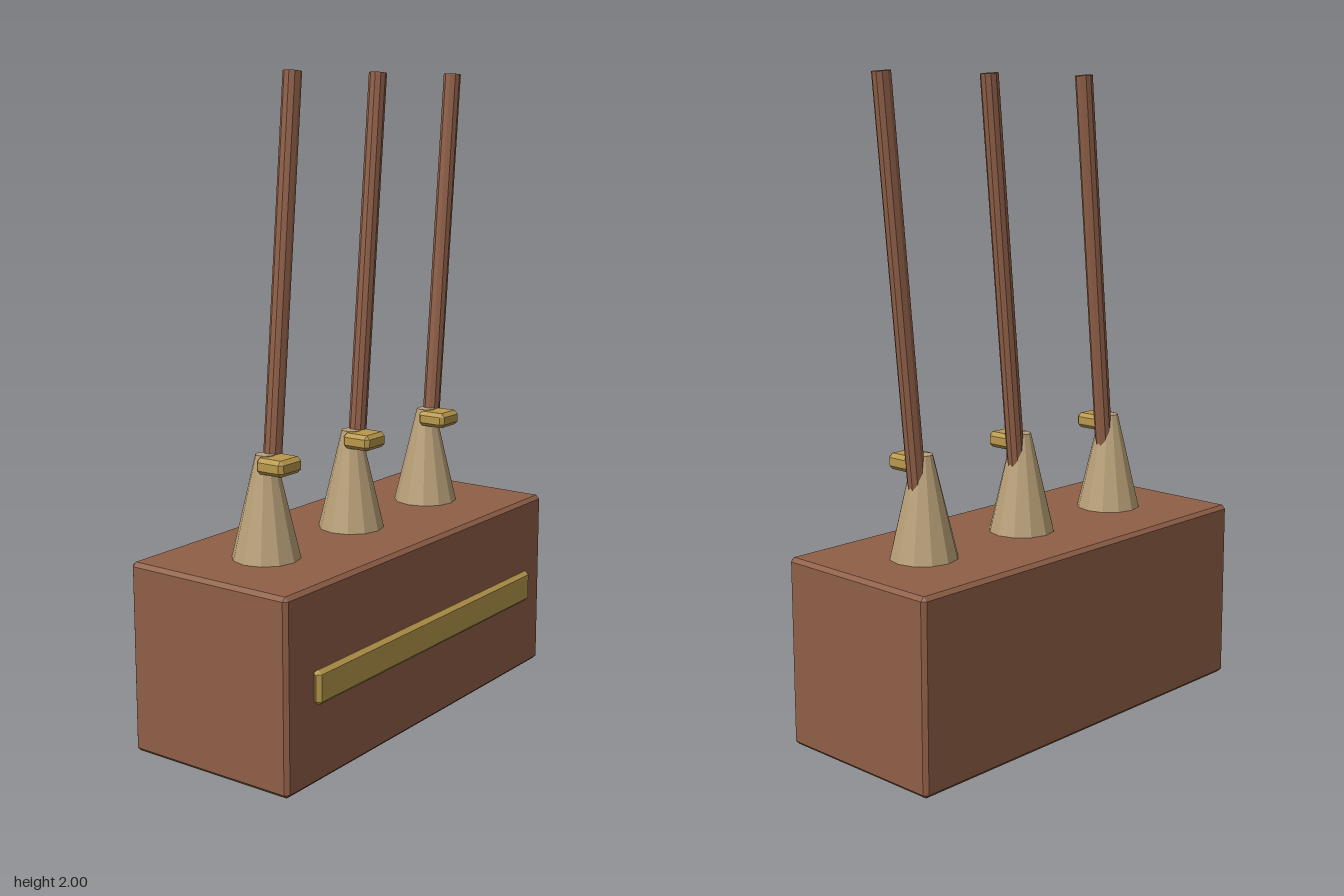
import * as THREE from 'three';
import { ConvexGeometry } from 'three/addons/geometries/ConvexGeometry.js';

// Box between two corners with every edge chamfered by c
function chamferBox(min, max, c) {
  const half = min.map((v, i) => (max[i] - v) / 2);
  const mid = min.map((v, i) => (max[i] + v) / 2);
  const points = [];
  for (const sx of [-1, 1]) for (const sy of [-1, 1]) for (const sz of [-1, 1]) {
    const sign = [sx, sy, sz];
    // Three points per corner, each lying on one of the faces
    for (let axis = 0; axis < 3; axis++) {
      points.push(new THREE.Vector3(...sign.map((s, i) => mid[i] + s * (half[i] - (i === axis ? 0 : c)))));
    }
  }
  return new ConvexGeometry(points);
}

// Cylinder or cone running between two points
function rodBetween(a, b, r0, r1, sides) {
  const dir = b.clone().sub(a);
  const geo = new THREE.CylinderGeometry(r1, r0, dir.length(), sides);
  geo.applyQuaternion(new THREE.Quaternion().setFromUnitVectors(new THREE.Vector3(0, 1, 0), dir.normalize()));
  const m = a.clone().add(b).multiplyScalar(0.5);
  return geo.translate(m.x, m.y, m.z);
}

export function createModel() {
  const paint = (name, color) => {
    const m = new THREE.MeshStandardMaterial({ color, flatShading: true });
    m.name = name;
    return m;
  };
  const wood = paint('brown wood', 0x8f5f47);
  const brass = paint('brass', 0xb8984c);
  const tan = paint('tan cone', 0xb8a078);

  const model = new THREE.Group();
  model.name = 'model';
  const add = (parent, name, geo, mat) => {
    const mesh = new THREE.Mesh(geo, mat);
    mesh.name = name;
    parent.add(mesh);
  };

  // Box body and front plate
  add(model, 'body', chamferBox([-0.7, 0, -0.305], [0.7, 0.587, 0.277], 0.012), wood);
  add(model, 'frontPlate', chamferBox([-0.588, 0.245, 0.277], [0.588, 0.35, 0.305], 0.012), brass);

  // Three cones, each with a clip and a leaning rod
  const z = -0.015;
  for (const x of [-0.424, 0, 0.424]) {
    const unit = new THREE.Group();
    unit.name = 'coneUnit';
    unit.position.set(x, 0, z);
    add(unit, 'cone', rodBetween(new THREE.Vector3(0, 0.57, 0), new THREE.Vector3(0, 0.899, 0), 0.108, 0.03, 12), tan);
    add(unit, 'clip', chamferBox([-0.052, 0.848, 0], [0.052, 0.897, 0.1], 0.012), brass);
    add(unit, 'rod', rodBetween(new THREE.Vector3(0.02, 0.75, 0), new THREE.Vector3(0.14, 1.997, 0), 0.028, 0.028, 10), wood);
    model.add(unit);
  }
  return model;
}
